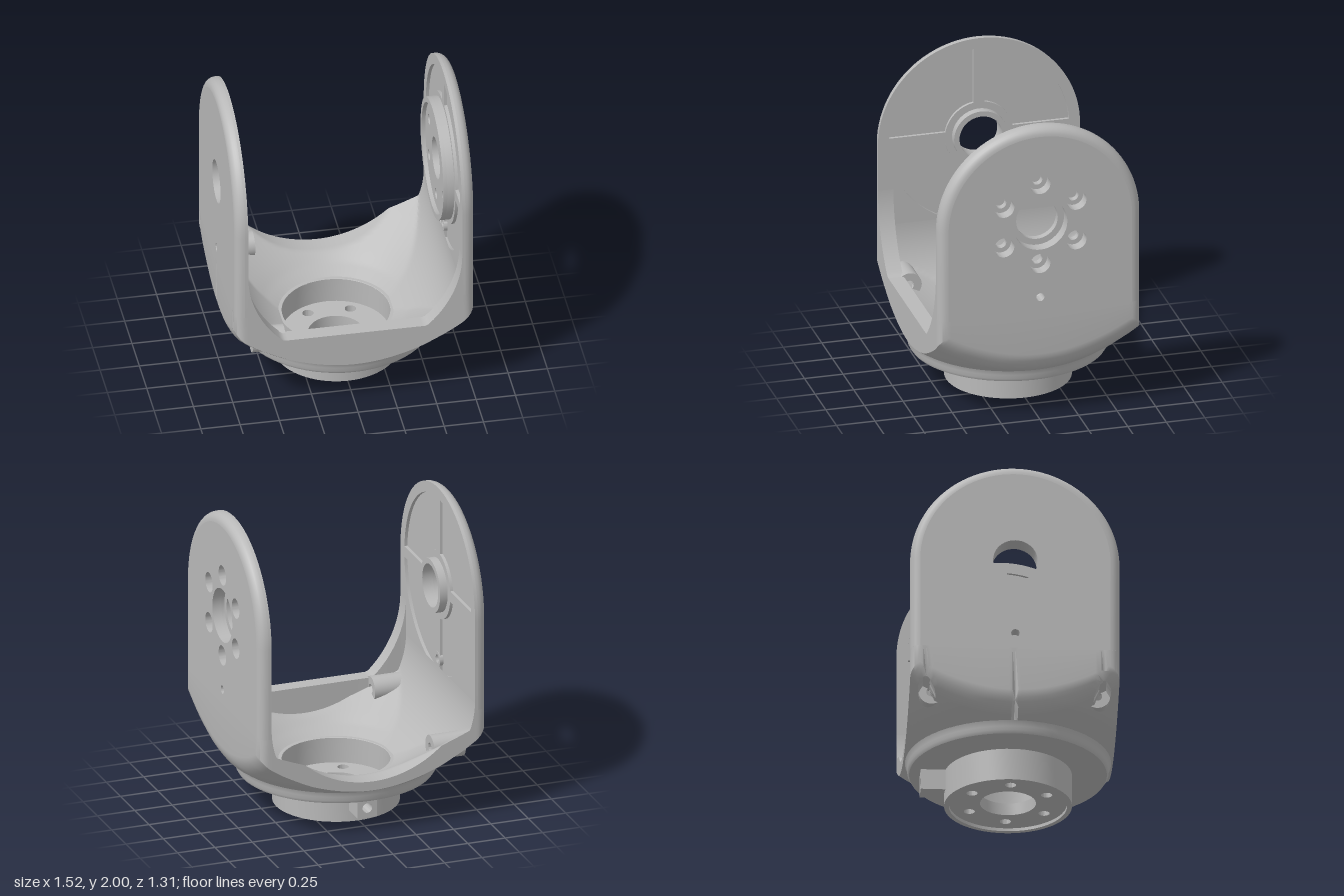
import * as THREE from 'three';
import { toCreasedNormals } from 'three/addons/utils/BufferGeometryUtils.js';

const PI = Math.PI;
const W = 0.655, WALL = 0.68, FIL = 0.70, OUT = 0.76, R = OUT - FIL; // yoke extents
const SPLIT = 0.74, AXIS = 1.34;      // where arms start, pivot height
const RECESS = 0.34;                  // round well in the floor

const metal = new THREE.MeshStandardMaterial({ color: 0xb9b9b9, side: THREE.DoubleSide });
metal.name = 'grey metal';

function add(parent, name, geometry, crease = 0.6) {
  const mesh = new THREE.Mesh(toCreasedNormals(geometry, crease), metal);
  mesh.name = name;
  parent.add(mesh);
  return mesh;
}

// straight-line interpolation along a short profile
function lerpProfile(p, t) {
  let i = 0;
  while (i < p.length - 2 && t > p[i + 1][0]) i++;
  const k = Math.max(0, (t - p[i][0]) / (p[i + 1][0] - p[i][0]));
  return p[i][1] + k * (p[i + 1][1] - p[i][1]);
}

const circle = (x, y, r) => new THREE.Path().absarc(x, y, r, 0, 2 * PI, true);
const boltCircle = (cy, r, start) => Array.from({ length: 6 }, (_, i) =>
  circle(0.27 * Math.cos(start + i * PI / 3), cy + 0.27 * Math.sin(start + i * PI / 3), r));

function slab(shape, holes, z0, z1) {
  shape.holes.push(...holes);
  return new THREE.ExtrudeGeometry(shape, { depth: z1 - z0, bevelEnabled: false, curveSegments: 24 })
    .translate(0, 0, z0);
}
const disc = (cy, r, holes, z0, z1) => slab(new THREE.Shape().absarc(0, cy, r, 0, 2 * PI), holes, z0, z1);

// ---- cradle: the bowl-shaped lower half ----
const INNER = [[0.34, 0.26], [0.45, 0.315], [0.52, 0.36], [0.79, 0.53], [1.02, 0.67]];
const OUTER = [[0.6, 0.27], [0.655, 0.3], [0.77, 0.38], [0.89, 0.48], [1.02, 0.6]];

function topHeight(x, z) {
  const ax = Math.abs(x);
  if (ax >= WALL) return SPLIT;
  const channel = 1.04 - Math.sqrt(WALL * WALL - ax * ax);
  if (z > 0.555) return Math.max(channel, 0.535);              // front lip
  const blend = 0.8 - 0.62 * Math.sqrt(1 - (ax / WALL) ** 2);  // wall-to-floor fillet
  return Math.min(channel, Math.max(blend, lerpProfile(INNER, Math.hypot(x, z))));
}

function bottomHeight(x, z) {
  const t = Math.min(1, Math.max(0, (Math.abs(x) - WALL) / (OUT - WALL)));
  return lerpProfile(OUTER, Math.hypot(x, z)) + 0.08 * (1 - Math.sqrt(1 - t * t));
}

function cradleGeometry() {
  const half = [];
  for (let k = 1; k < 44; k++) half.push(WALL * Math.sin(k / 44 * PI / 2));
  half.push(WALL - 0.0001, WALL);
  for (let k = 0; k <= 5; k++) half.push(FIL + R * Math.sin(k * PI / 10));
  const xs = [...half.map(v => -v).reverse(), 0, ...half];
  const ss = [0.8473, 0.8475];
  for (let k = 0; k <= 64; k++) ss.push(k / 32 - 1);
  ss.sort((a, b) => a - b);
  const nx = xs.length, nz = ss.length, count = nx * nz;
  const top = [], bottom = [], index = [], radius = [];
  for (const x0 of xs) for (const s of ss) {
    const t = Math.max(0, (Math.abs(x0) - FIL) / R);
    let x = x0, z = s * (W - R * (1 - Math.sqrt(Math.max(0, 1 - t * t))));
    let r = Math.hypot(x, z);
    if (Math.abs(r - RECESS) < 0.018) { x *= RECESS / r; z *= RECESS / r; r = RECESS; }
    radius.push(r);
    top.push(x, topHeight(x, z), z);
    // sunk screw holes on the underside
    const cz = Math.sign(z) * 0.55;
    const dx = (x + 0.67) / 0.07, dz = (z - cz) / 0.055, d = Math.hypot(dx, dz);
    let sink = 0;
    if (d <= 0.7) sink = 0.06;
    else if (d < 1.3) { x = -0.67 + 0.07 * dx / d; z = cz + 0.055 * dz / d; }
    bottom.push(x, bottomHeight(x, z) + sink, z);
  }
  const quad = (a, b, c, d) => index.push(a, b, c, a, c, d);
  for (let i = 0; i < nx - 1; i++) for (let j = 0; j < nz - 1; j++) {
    const a = i * nz + j, b = a + 1, c = a + nz + 1, d = a + nz;
    if ((radius[a] + radius[b] + radius[c] + radius[d]) / 4 < RECESS) continue;
    quad(a, b, c, d);
    quad(count + a, count + d, count + c, count + b);
  }
  // outer skirts
  for (let i = 0; i < nx - 1; i++) {
    const b = i * nz, f = b + nz - 1;
    quad(b, b + nz, b + nz + count, b + count);
    quad(f, f + count, f + nz + count, f + nz);
  }
  for (let j = 0; j < nz - 1; j++) {
    const l = j, r = (nx - 1) * nz + j;
    quad(l, l + count, l + 1 + count, l + 1);
    quad(r, r + 1, r + 1 + count, r + count);
  }
  const g = new THREE.BufferGeometry();
  g.setAttribute('position', new THREE.Float32BufferAttribute([...top, ...bottom], 3));
  g.setIndex(index);
  return g;
}

// ---- arms: local z points outward from the middle ----
function outline(inset) {
  const r = W - inset, pts = [new THREE.Vector2(r, SPLIT)];
  for (let k = 0; k <= 48; k++) {
    const a = k / 48 * PI;
    pts.push(new THREE.Vector2(r * Math.cos(a), AXIS + r * Math.sin(a)));
  }
  pts.push(new THREE.Vector2(-r, SPLIT));
  return pts;
}

function filletGeometry() {
  const pos = [], index = [], n = outline(0).length;
  for (let k = 0; k <= 6; k++) {
    const a = k * PI / 12;
    for (const p of outline(R * (1 - Math.cos(a)))) pos.push(p.x, p.y, FIL + R * Math.sin(a));
  }
  for (let k = 0; k < 6; k++) for (let i = 0; i < n - 1; i++) {
    const a = k * n + i;
    index.push(a, a + 1, a + n, a + 1, a + n + 1, a + n);
  }
  const g = new THREE.BufferGeometry();
  g.setAttribute('position', new THREE.Float32BufferAttribute(pos, 3));
  g.setIndex(index);
  return g;
}

// quarter-ring pocket between two spokes
function pocket(i, ri, ro) {
  const w = 0.036, a = i * PI / 2, b = a + PI / 2, o = Math.asin(w / ro), n = Math.asin(w / ri);
  return new THREE.Path().absarc(0, AXIS, ro, a + o, b - o, false).absarc(0, AXIS, ri, b - n, a + n, true);
}

function arm(name, side, hubRadius, holes) {
  const g = new THREE.Group();
  g.name = name;
  g.rotation.y = side * PI / 2;
  const all = () => [...holes(), circle(0, 0.84, 0.027)];
  add(g, 'armPlate', slab(new THREE.Shape(outline(R)), all(), FIL, OUT));
  add(g, 'armRoundedEdge', filletGeometry());
  const pockets = [0, 1, 2, 3].map(i => pocket(i, hubRadius, 0.585));
  add(g, 'armRibs', slab(new THREE.Shape(outline(0)), [...all(), ...pockets], WALL, FIL));
  add(g, 'pinCollar', disc(0.84, 0.05, [circle(0, 0.84, 0.027)], WALL - 0.003, FIL));
  return g;
}

export function createModel() {
  const model = new THREE.Group();
  model.name = 'yoke';
  add(model, 'cradle', cradleGeometry());

  // drive arm with bolted ring
  const drive = arm('driveArm', 1, 0.42, () =>
    [circle(0, AXIS, 0.175), ...boltCircle(AXIS, 0.065, PI / 6)]);
  add(drive, 'driveRing', disc(AXIS, 0.39,
    [circle(0, AXIS, 0.135), ...boltCircle(AXIS, 0.035, PI / 6)], 0.635, WALL));
  add(drive, 'driveRingLip', disc(AXIS, 0.39, [circle(0, AXIS, 0.355)], 0.61, 0.635));
  model.add(drive);

  // idler arm with bearing boss
  const idler = arm('idlerArm', -1, 0.22, () => [circle(0, AXIS, 0.14)]);
  add(idler, 'bearingBoss', disc(AXIS, 0.175, [circle(0, AXIS, 0.14)], 0.63, FIL));
  model.add(idler);

  // base collar, well and floor
  const lathe = pts => new THREE.LatheGeometry(pts.map(p => new THREE.Vector2(...p)), 64);
  add(model, 'baseCollar', lathe([[0.37, 0.02], [0.37, 0], [0.4, 0], [0.4, 0.21], [0.6, 0.21],
    [0.618, 0.215], [0.63, 0.235], [0.63, 0.26], [0.645, 0.295], [0.6, 0.295]]));
  add(model, 'well', lathe([[RECESS, 0.1], [RECESS, 0.265]]));
  add(model, 'baseFloor', disc(0, 0.37, [circle(0, 0, 0.175), ...boltCircle(0, 0.035, 0)], 0.02, 0.1)
    .rotateX(-PI / 2));

  // rear lug
  const lug = new THREE.Shape([[-0.065, 0.075], [0.065, 0.075], [0.065, 0.21], [-0.065, 0.21]]
    .map(p => new THREE.Vector2(...p)));
  add(model, 'rearLug', slab(lug, [circle(0, 0.14, 0.032)], -0.55, -0.385));

  // screw bosses inside the cradle
  for (const s of [-1, 1]) {
    const boss = add(model, 'screwBoss', disc(0, 0.08, [circle(0, 0, 0.03)], 0.43, 0.64));
    boss.rotation.y = -PI / 2;
    boss.position.set(0, 0.475, s * 0.52);
  }
  return model;
}
